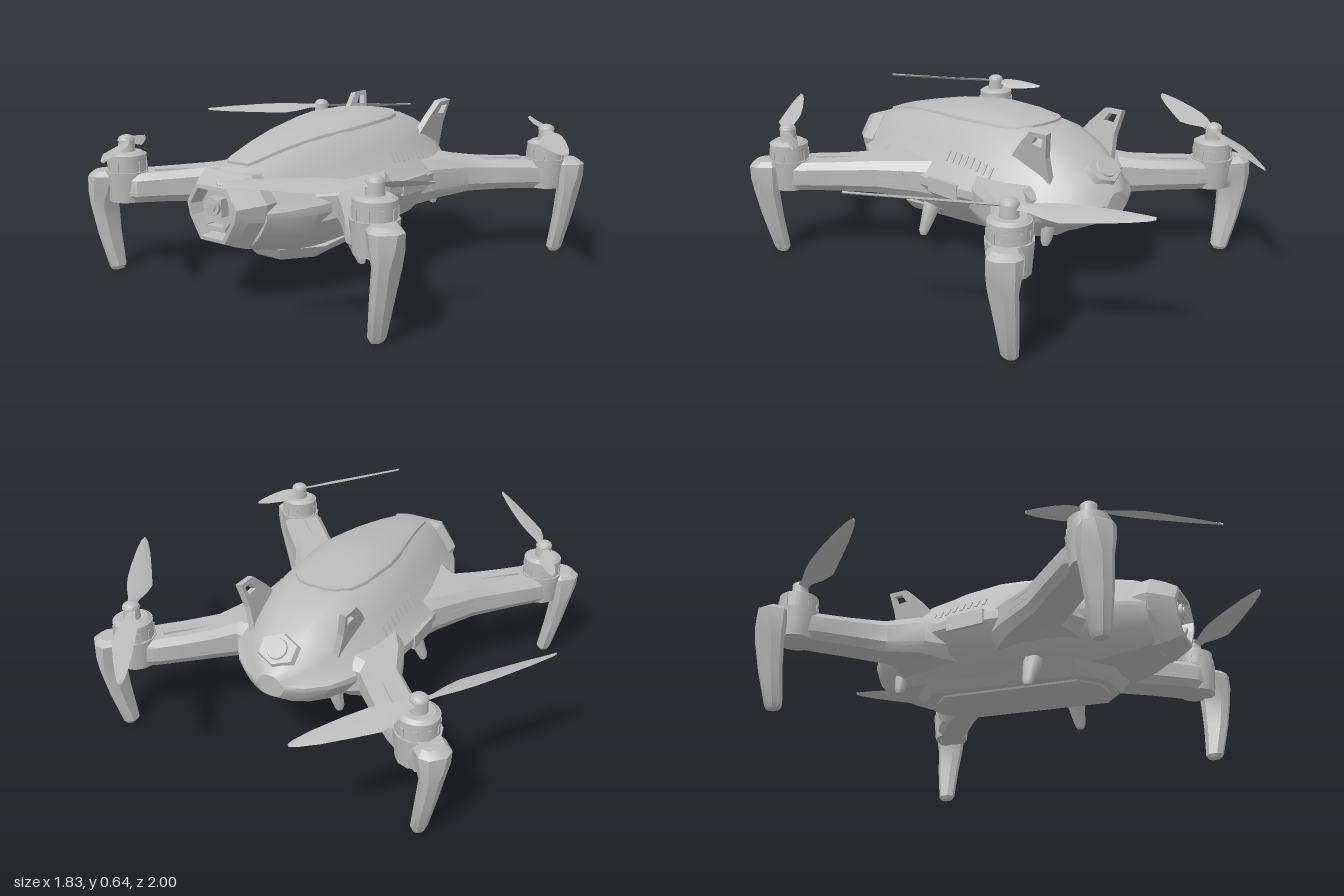
import * as THREE from 'three';
import { toCreasedNormals } from 'three/addons/utils/BufferGeometryUtils.js';

const grey = new THREE.MeshStandardMaterial({ color: 0xbbbbbb });
grey.name = 'grey plastic';

function part(parent, name, geometry, x = 0, y = 0, z = 0) {
  const mesh = new THREE.Mesh(geometry, grey);
  mesh.name = name;
  mesh.position.set(x, y, z);
  parent.add(mesh);
  return mesh;
}

// Closed skin through rings of [x, y, z] points; faces always point outward
function loft(rings, crease = 0.5) {
  const n = rings[0].length, last = (rings.length - 1) * n, pts = rings.flat(), tris = [];
  for (let i = 0; i < rings.length - 1; i++) {
    for (let j = 0; j < n; j++) {
      const a = i * n + j, b = i * n + (j + 1) % n;
      tris.push([a, a + n, b], [b, a + n, b + n]);
    }
  }
  for (let j = 1; j < n - 1; j++) tris.push([0, j, j + 1], [last, last + j + 1, last + j]);
  let volume = 0;
  for (const [a, b, c] of tris) {
    const [p, q, r] = [pts[a], pts[b], pts[c]].map((v) => new THREE.Vector3(...v));
    volume += p.dot(q.cross(r));
  }
  const g = new THREE.BufferGeometry();
  g.setAttribute('position', new THREE.Float32BufferAttribute(pts.flat(), 3));
  g.setIndex(tris.flatMap(([a, b, c]) => (volume < 0 ? [a, c, b] : [a, b, c])));
  return toCreasedNormals(g, crease);
}

// Body stations: z, half width, top, bottom, height of the widest line
const STATIONS = [
  [-0.595, 0.06, 0.40, 0.31, 0.36], [-0.56, 0.13, 0.44, 0.28, 0.36], [-0.5, 0.20, 0.49, 0.25, 0.36],
  [-0.4, 0.27, 0.55, 0.21, 0.37], [-0.27, 0.32, 0.595, 0.19, 0.37], [-0.1, 0.34, 0.612, 0.175, 0.37],
  [0.05, 0.34, 0.615, 0.165, 0.37], [0.2, 0.325, 0.6, 0.155, 0.365], [0.35, 0.3, 0.572, 0.15, 0.36],
  [0.48, 0.26, 0.542, 0.16, 0.355], [0.6, 0.21, 0.51, 0.185, 0.35], [0.66, 0.175, 0.485, 0.21, 0.35],
];
const PROFILE = [[0, 1], [0.3, 0.99], [0.52, 0.84], [0.7, 0.55], [0.86, 0.22], [1, 0.04],
  [1, -0.12], [0.82, -0.55], [0.55, -0.9], [0, -1]];

function bodyRing([z, w, top, bottom, mid]) {
  const half = PROFILE.map(([x, y]) => [x * w, mid + y * (y > 0 ? top - mid : mid - bottom), z]);
  return [...half, ...half.slice(1, -1).reverse().map(([x, y]) => [-x, y, z])];
}

// Height of the upper body surface
function bodyTop(x, z) {
  const i = Math.max(1, STATIONS.findIndex((s) => s[0] >= z));
  const a = STATIONS[i - 1], b = STATIONS[i], t = (z - a[0]) / (b[0] - a[0]);
  const [, w, top, , mid] = a.map((v, k) => v + (b[k] - v) * t);
  const f = Math.abs(x) / w;
  const k = Math.max(1, PROFILE.findIndex((p) => p[0] >= f));
  const [p, q] = [PROFILE[k - 1], PROFILE[k]];
  return mid + (top - mid) * (p[1] + (q[1] - p[1]) * (f - p[0]) / (q[0] - p[0]));
}

// Faceted nose frame outline, scaled in x and y about its centre
function noseRing([z, sx, sy]) {
  return [[0.11, 0.14], [0.182, 0.045], [0.165, -0.02], [0.09, -0.13], [-0.09, -0.13], [-0.165, -0.02],
    [-0.182, 0.045], [-0.11, 0.14]].map(([x, y]) => [x * sx, 0.345 + y * sy, z]);
}

// Horizontal chamfered rectangle ring, used for plates, pegs and legs
function slabRing(y, cx, hx, cz, hz, slope = 0, c = 0.4) {
  const k = Math.min(hx, hz) * c;
  return [[hx, hz - k], [hx - k, hz], [k - hx, hz], [-hx, hz - k], [-hx, k - hz], [k - hx, -hz],
    [hx - k, -hz], [hx, k - hz]].map(([x, z]) => [cx + x, y - slope * z, cz + z]);
}

// Arm ring between two ground points, with chamfered corners
function armRing([ax, az, bx, bz, top, bottom]) {
  const h = top - bottom;
  return [[0.14, 1], [0.86, 1], [1, 0.78], [1, 0.25], [0.86, 0], [0.14, 0], [0, 0.25], [0, 0.78]]
    .map(([t, v]) => [ax + (bx - ax) * t, bottom + h * v, az + (bz - az) * t]);
}

const FRONT_ARM = [[0.26, 0, 0.22, 0.48, 0.43, 0.24], [0.335, 0.13, 0.29, 0.41, 0.425, 0.27],
  [0.425, 0.29, 0.37, 0.49, 0.412, 0.28], [0.53, 0.41, 0.44, 0.57, 0.405, 0.285],
  [0.625, 0.52, 0.51, 0.65, 0.4, 0.285], [0.69, 0.62, 0.62, 0.69, 0.4, 0.28]];
const BACK_ARM = [[0.26, -0.05, 0.2, -0.42, 0.43, 0.24], [0.345, -0.19, 0.27, -0.41, 0.425, 0.27],
  [0.4, -0.33, 0.33, -0.47, 0.412, 0.28], [0.5, -0.43, 0.41, -0.55, 0.405, 0.285],
  [0.61, -0.53, 0.49, -0.62, 0.4, 0.285], [0.7, -0.63, 0.62, -0.7, 0.4, 0.28]];
// Length fraction, leading and trailing edge of a propeller blade
const BLADE = [[0, 0.018, -0.018], [0.12, 0.02, -0.018], [0.24, 0.045, -0.03], [0.36, 0.06, -0.035],
  [0.55, 0.048, -0.033], [0.8, 0.03, -0.024], [0.95, 0.014, -0.014], [1, 0.004, -0.006]];

function blade(hub, tip, spin) {
  const dx = tip[0] - hub[0], dy = tip[1] - hub[1], dz = tip[2] - hub[2], len = Math.hypot(dx, dz);
  const nx = dz / len * spin, nz = -dx / len * spin, wide = Math.min(1, len / 0.4);
  return loft(BLADE.map(([t, lead, trail]) => {
    const edge = [[lead, 0], [(lead + trail) / 2, 0.006], [trail, 0], [(lead + trail) / 2, -0.004]];
    return edge.map(([e, up]) => [hub[0] + dx * t + nx * e * wide,
      hub[1] + dy * t + up - e * 0.35, hub[2] + dz * t + nz * e * wide]);
  }), 0.9);
}

function rotorArm(sx, sz) {
  const g = new THREE.Group();
  g.name = (sz > 0 ? 'front' : 'back') + (sx > 0 ? 'Left' : 'Right') + 'Arm';
  const mx = sx * 0.602, mz = sz * 0.615;
  const flip = (ring) => ring.map(([x, y, z]) => [x * sx, y, z]);
  part(g, 'arm', loft((sz > 0 ? FRONT_ARM : BACK_ARM).map((s) => flip(armRing(s)))));
  const panel = part(g, 'armPanel', new THREE.BoxGeometry(0.045, 0.01, 0.17), sx * 0.455, 0.407, sz * 0.49);
  panel.rotation.y = sx * sz * 0.78;

  // Landing leg
  part(g, 'landingLeg', loft([[0.405, 0.675, 0.042, 0.663, 0.046], [0.385, 0.68, 0.064, 0.668, 0.066],
    [0.33, 0.685, 0.054, 0.668, 0.067], [0.27, 0.688, 0.036, 0.667, 0.062], [0.15, 0.668, 0.032, 0.665, 0.05],
    [0.015, 0.642, 0.027, 0.655, 0.036], [0, 0.642, 0.018, 0.655, 0.026]]
    .map(([y, x, hx, z, hz]) => slabRing(y, x * sx, hx, z * sz, hz, 0, 0.7))));

  // Motor
  part(g, 'motorMount', toCreasedNormals(new THREE.CylinderGeometry(0.086, 0.075, 0.12, 12), 0.6), mx, 0.345, mz);
  part(g, 'motorBell', new THREE.CylinderGeometry(0.076, 0.076, 0.07, 28), mx, 0.435, mz);
  part(g, 'motorTop', new THREE.CylinderGeometry(0.058, 0.074, 0.012, 28), mx, 0.475, mz);
  part(g, 'motorShaft', new THREE.CylinderGeometry(0.03, 0.034, 0.06, 18), mx, 0.505, mz);
  part(g, 'propellerCap', new THREE.SphereGeometry(0.034, 18, 8, 0, Math.PI * 2, 0, Math.PI / 2), mx, 0.523, mz)
    .scale.y = 0.7;
  for (let i = 0; i < 10; i++) {
    const a = i / 10 * Math.PI * 2;
    part(g, 'motorRib', new THREE.BoxGeometry(0.014, 0.04, 0.014),
      mx + Math.cos(a) * 0.072, 0.425, mz + Math.sin(a) * 0.072).rotation.y = -a;
  }

  // Propeller
  const tips = sz > 0 ? [[0.27, 0.54, 0.995], [0.71, 0.5, 0.425]] : [[0.335, 0.5, -1], [0.91, 0.525, -0.145]];
  for (const [x, y, z] of tips) {
    part(g, 'propellerBlade', blade([mx, 0.517, mz], [x * sx, y, z], sx * sz));
  }
  return g;
}

export function createModel() {
  const model = new THREE.Group();
  model.name = 'quadcopter';

  // Body, with a faceted nose frame recessed for the camera
  part(model, 'body', loft(STATIONS.map(bodyRing)));
  part(model, 'noseFrame', loft([[0.61, 0.98, 0.98], [0.665, 1, 1], [0.715, 0.82, 0.88], [0.755, 0.66, 0.74],
    [0.757, 0.57, 0.64], [0.705, 0.52, 0.58]].map(noseRing), 0.3));

  // Raised canopy following the top of the body
  const canopy = [[-0.26, 0.04], [-0.245, 0.085], [-0.2, 0.125], [-0.12, 0.15], [0.05, 0.165], [0.15, 0.155],
    [0.3, 0.125], [0.45, 0.093], [0.59, 0.066], [0.618, 0.05]];
  part(model, 'canopy', loft(canopy.map(([z, w]) => {
    const xs = [-1, -0.97, -0.7, -0.35, 0, 0.35, 0.7, 0.97, 1].map((f) => f * w);
    const over = xs.map((x, i) => [x, bodyTop(x, z) + (i % 8 ? 0.01 : 0.001), z]);
    return [...over, ...xs.reverse().map((x) => [x, bodyTop(x, z) - 0.02, z])];
  })));

  // Nose camera
  const tube = (r, d) => new THREE.CylinderGeometry(r, r, d, 20).rotateX(Math.PI / 2);
  part(model, 'cameraBody', new THREE.BoxGeometry(0.066, 0.066, 0.05), 0, 0.37, 0.715);
  part(model, 'cameraLens', tube(0.032, 0.03), 0, 0.375, 0.737);
  part(model, 'cameraGlass', tube(0.018, 0.01), 0, 0.375, 0.753);
  part(model, 'noseBar', new THREE.BoxGeometry(0.09, 0.016, 0.04), 0, 0.293, 0.72);
  for (const s of [-1, 1]) {
    part(model, 'noseBrace', new THREE.BoxGeometry(0.05, 0.016, 0.04), s * 0.058, 0.318, 0.72).rotation.z = s * 0.85;
  }

  // Tail hatch and lamp
  const hatch = new THREE.Group();
  hatch.name = 'tailHatch';
  hatch.position.set(0, 0.472, -0.528);
  hatch.rotation.x = -0.72;
  part(hatch, 'hatchPlate', new THREE.CylinderGeometry(0.08, 0.09, 0.02, 6)).scale.z = 0.75;
  part(hatch, 'tailLamp', new THREE.CylinderGeometry(0.038, 0.042, 0.01, 20), 0, 0.012, 0);
  model.add(hatch);

  // Stepped belly plate, tilted up toward the tail
  const slope = 0.075;
  part(model, 'bellyPlate', loft([[0.2, 0.2, 0.44], [0.163, 0.165, 0.42], [0.15, 0.15, 0.41]]
    .map(([y, hx, hz]) => slabRing(y, 0, hx, 0.05, hz, slope, 0.6))));
  part(model, 'batteryCover', loft([[0.16, 0.125, 0.37], [0.142, 0.115, 0.36]]
    .map(([y, hx, hz]) => slabRing(y, 0, hx, 0.06, hz, slope, 0.6))));

  // Tail fin outline in z and y, with a window
  const fin = new THREE.Shape([[-0.24, -0.04], [-0.3, 0.035], [-0.365, 0.1], [-0.445, 0.102], [-0.425, 0], [-0.43, -0.1]]
    .map((p) => new THREE.Vector2(...p)));
  fin.holes.push(new THREE.Path([[-0.365, 0.05], [-0.387, 0.082], [-0.425, 0.082], [-0.412, 0.045]]
    .map((p) => new THREE.Vector2(...p))));
  const finGeometry = new THREE.ExtrudeGeometry(fin, { depth: 0.026, bevelEnabled: false })
    .translate(0, 0, -0.013).rotateY(-Math.PI / 2);

  for (const s of [-1, 1]) {
    part(model, 'tailFin', finGeometry, s * 0.2, 0.54, 0).rotation.z = -s * 0.2;

    // Belly pegs
    part(model, 'frontPeg', loft([[0.21, 0.19, 0.04], [0.1, 0.245, 0.022], [0.08, 0.25, 0.014]]
      .map(([y, x, h]) => slabRing(y, x * s, h * 0.9, 0.207, h, 0, 0.6)), 1));
    part(model, 'backPeg', loft([[0.28, 0.16, 0.03], [0.21, 0.18, 0.02], [0.19, 0.183, 0.012]]
      .map(([y, x, h]) => slabRing(y, x * s, h, -0.405, h, 0, 0.6)), 1));

    // Shoulder vents, side skirt and intake
    for (let i = 0; i < 8; i++) {
      const z = -0.2 + i * 0.033;
      part(model, 'shoulderVent', new THREE.BoxGeometry(0.008, 0.045, 0.012), s * 0.265, bodyTop(0.265, z), z)
        .rotation.z = s * 0.57;
    }
    part(model, 'sideSkirt', new THREE.BoxGeometry(0.016, 0.06, 0.16), s * 0.337, 0.36, -0.015);
    for (const y of [0.345, 0.375]) {
      part(model, 'sideIntake', new THREE.BoxGeometry(0.016, 0.014, 0.12), s * 0.392, y, 0.245).rotation.y = s * 0.52;
    }
    for (const z of [1, -1]) model.add(rotorArm(s, z));
  }
  return model;
}
